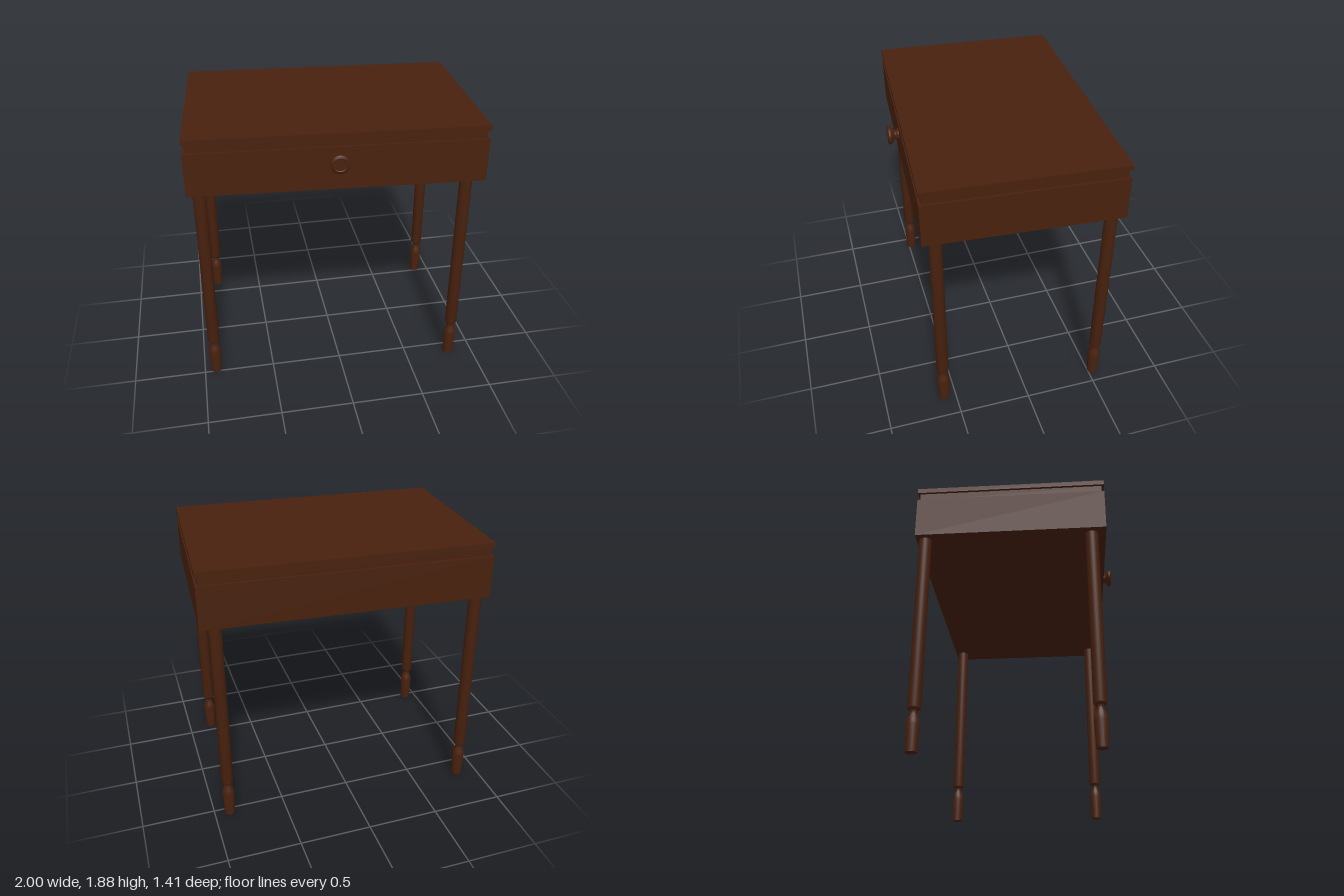
import * as THREE from 'three';
import { toCreasedNormals } from 'three/addons/utils/BufferGeometryUtils.js';

const WIDTH = 1.923, DEPTH = 1.272;

export function createModel() {
  const model = new THREE.Group();
  model.name = 'sideTable';
  const wood = new THREE.MeshStandardMaterial({ color: 0x48210e });
  wood.name = 'darkWood';

  // the whole table stands slightly turned
  const table = new THREE.Group();
  table.name = 'table';
  table.rotation.y = -0.06;
  table.position.z = -0.01;
  model.add(table);

  const add = (name, geometry, x, y, z) => {
    const mesh = new THREE.Mesh(geometry, wood);
    mesh.name = name;
    mesh.position.set(x, y, z);
    table.add(mesh);
    return mesh;
  };

  // box between two heights, inset from the table's outline
  const slab = (name, bottom, top, inset) => add(
    name,
    new THREE.BoxGeometry(WIDTH - 2 * inset, top - bottom, DEPTH - 2 * inset),
    0, (bottom + top) / 2, 0
  );

  // turned part from [radius, height] pairs, with crisp rims
  const turned = (profile, sides) => toCreasedNormals(
    new THREE.LatheGeometry(profile.map(([r, y]) => new THREE.Vector2(r, y)), sides), 0.5
  );

  // drawer case, recessed neck and table top
  slab('drawerCase', 1.495, 1.786, 0);
  slab('recessedNeck', 1.786, 1.843, 0.016);
  slab('tableTop', 1.843, 1.877, 0);

  // four turned legs with a pinched ankle and tapered foot
  const legGeometry = turned([
    [0, 0], [0.036, 0], [0.043, 0.17], [0.042, 0.19], [0.036, 0.212],
    [0.026, 0.237], [0.023, 0.253], [0.027, 0.266], [0.04, 0.277],
    [0.042, 0.285], [0.042, 1.497]
  ], 24);
  for (const [end, sz] of [['front', 1], ['back', -1]]) {
    for (const [side, sx] of [['Left', 1], ['Right', -1]]) {
      add(`${end}${side}Leg`, legGeometry, -0.013 + sx * 0.873, 0, -0.018 + sz * 0.56);
    }
  }

  // drawer knob facing forward
  const knob = add('drawerKnob', turned([
    [0.04, -0.003], [0.038, 0.008], [0.03, 0.018], [0.032, 0.028],
    [0.06, 0.05], [0.063, 0.056], [0.063, 0.067], [0.058, 0.072],
    [0.045, 0.076], [0.04, 0.072], [0, 0.072]
  ], 24), -0.003, 1.695, DEPTH / 2);
  knob.rotation.x = Math.PI / 2;

  return model;
}
